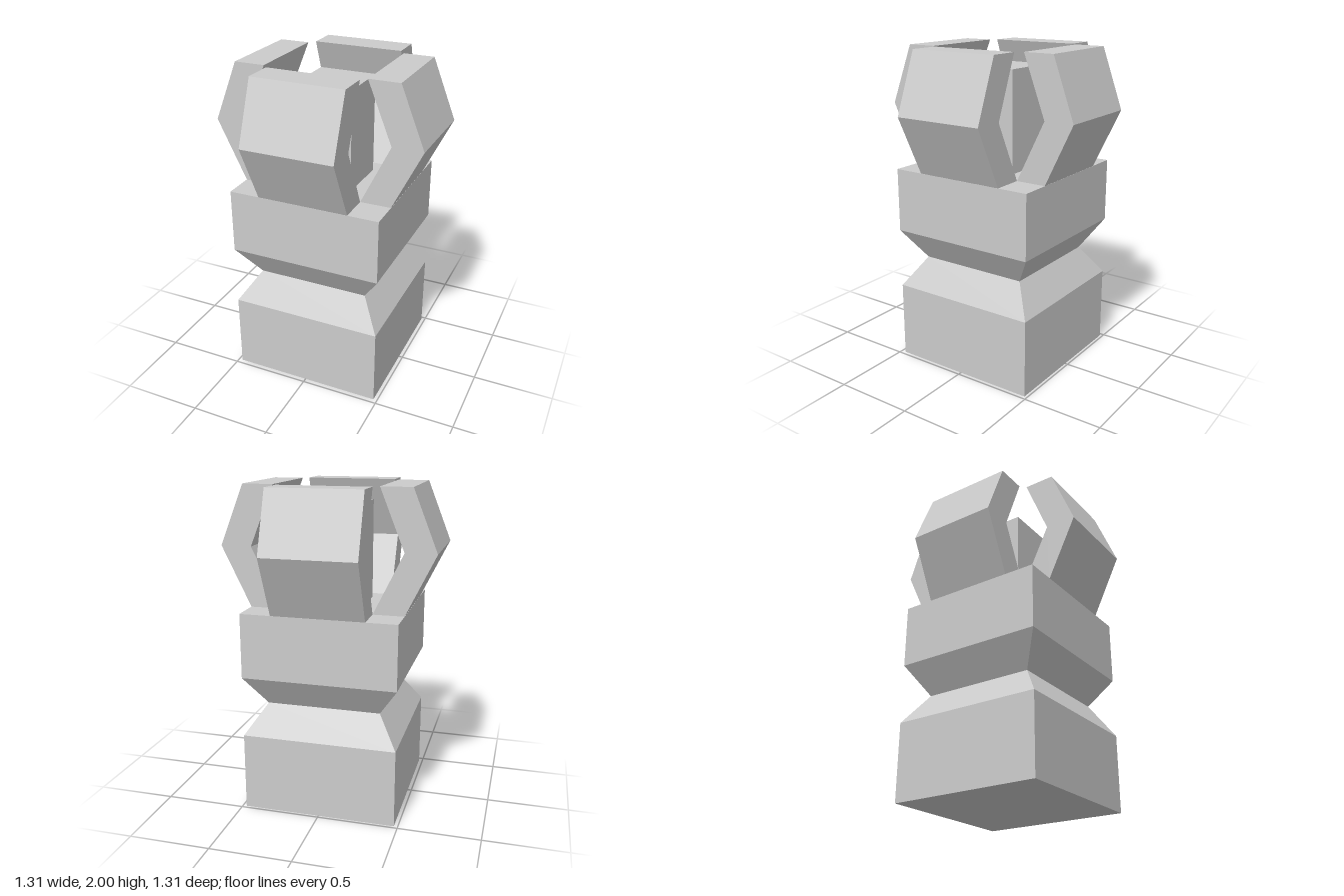
import * as THREE from 'three';

const material = new THREE.MeshStandardMaterial({ color: 0xcccccc, flatShading: true });

function addMesh(parent, name, geometry) {
  const mesh = new THREE.Mesh(geometry, material);
  mesh.name = name;
  parent.add(mesh);
  return mesh;
}

// Bent prong: profile in x/y extruded across its width; lean shifts the upper part
function prongGeometry(width, lean) {
  const shape = new THREE.Shape([
    [0.285, 1.26], [0.475, 1.26], [0.656 - lean / 2, 1.63],
    [0.508 + lean, 2], [0.318 + lean, 2], [0.466, 1.63],
  ].map(([x, y]) => new THREE.Vector2(x, y)));
  const geometry = new THREE.ExtrudeGeometry(shape, { depth: width, bevelEnabled: false });
  return geometry.translate(0, 0, -width / 2);
}

export function createModel() {
  const group = new THREE.Group();
  group.name = 'clawPillar';
  const pillar = new THREE.Group();
  pillar.name = 'pillar';
  pillar.position.z = -0.006;
  group.add(pillar);

  // Square body with a pinched waist: half-width and height pairs
  const profile = [[0, 0], [0.476, 0], [0.476, 0.485], [0.353, 0.67], [0.476, 0.86], [0.476, 1.26], [0, 1.26]]
    .map(([half, y]) => new THREE.Vector2(half * Math.SQRT2, y));
  addMesh(pillar, 'body', new THREE.LatheGeometry(profile, 4, Math.PI / 4).toNonIndexed());

  // Square core standing between the prongs
  addMesh(pillar, 'core', new THREE.BoxGeometry(0.36, 0.625, 0.36).translate(0, 1.26 + 0.3125, 0));

  // Four prongs around the top
  ['leftProng', 'backProng', 'rightProng', 'frontProng'].forEach((name, i) => {
    const lean = name === 'backProng' ? 0.009 : 0;
    addMesh(pillar, name, prongGeometry(0.57, lean)).rotation.y = i * Math.PI / 2;
  });

  return group;
}
